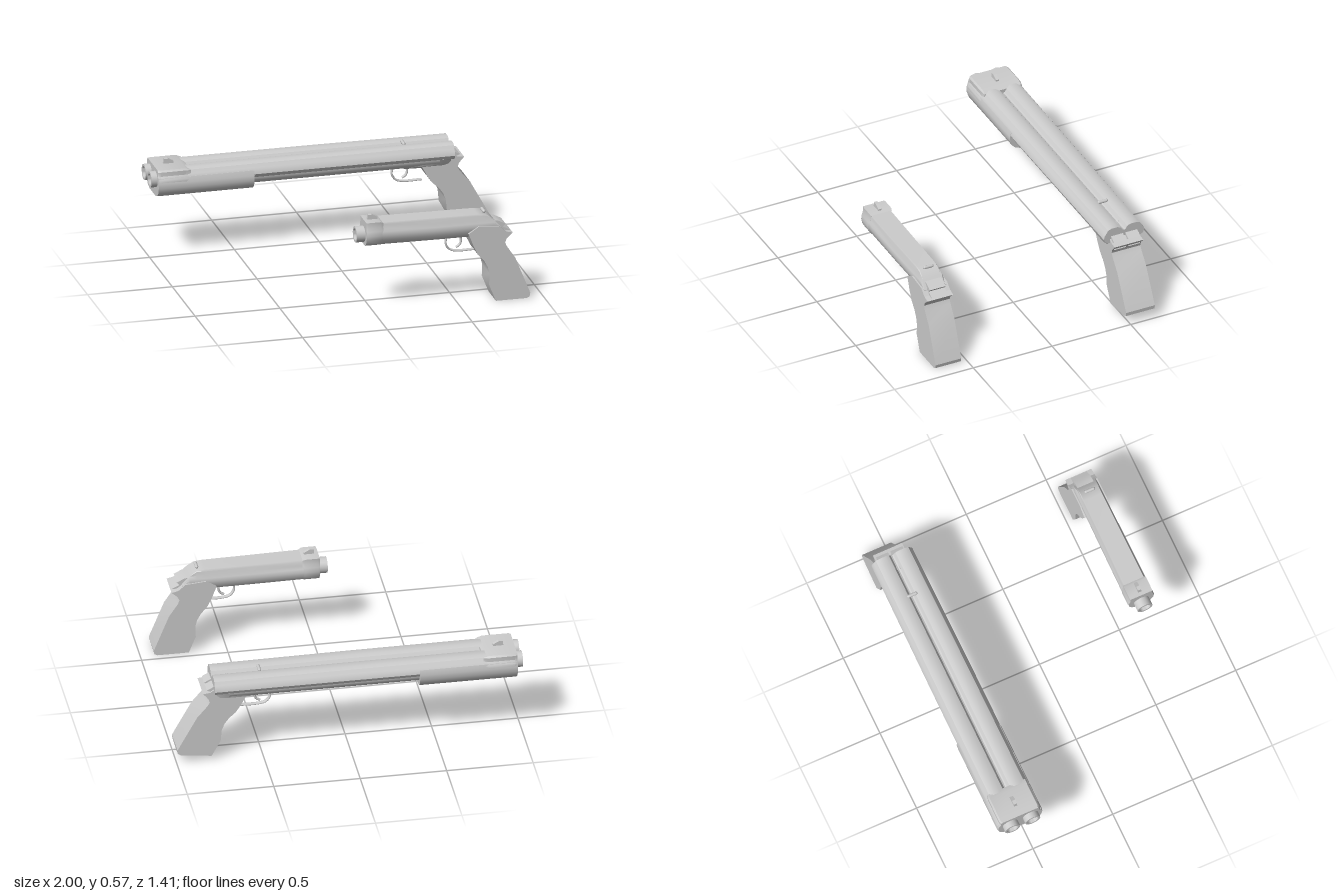
import * as THREE from 'three';
import { toCreasedNormals } from 'three/addons/utils/BufferGeometryUtils.js';

const material = new THREE.MeshStandardMaterial({ color: 0xcccccc });
const openMaterial = new THREE.MeshStandardMaterial({ color: 0xcccccc, side: THREE.DoubleSide });

function add(parent, name, geometry, mat = material) {
  const mesh = new THREE.Mesh(geometry, mat);
  mesh.name = name;
  parent.add(mesh);
  return mesh;
}

// Half outline [z, y] from bottom to top, mirrored into a closed ring
function mirrored(half) {
  const other = half.filter(([z]) => z > 0).map(([z, y]) => [-z, y]).reverse();
  return [...half, ...other];
}

// Loft a ring along x; stations are [x, widthScale, topLimit, lift]
function loft(half, stations, crease = 0.6) {
  const ring = mirrored(half);
  const rings = stations.map(([x, w = 1, top = 9, lift = 0]) =>
    ring.map(([z, y]) => [x, Math.min(y + lift, top), z * w]));
  const pos = [];
  const n = ring.length;
  const tri = (...corners) => corners.forEach((p) => pos.push(...p));
  for (let s = 0; s < rings.length - 1; s++) {
    const a = rings[s], b = rings[s + 1];
    for (let i = 0; i < n; i++) {
      const j = (i + 1) % n;
      tri(a[i], b[i], a[j]);
      tri(a[j], b[i], b[j]);
    }
  }
  const caps = THREE.ShapeUtils.triangulateShape(ring.map(([z, y]) => new THREE.Vector2(z, y)), []);
  const last = rings[rings.length - 1];
  for (const [i, j, k] of caps) {
    tri(rings[0][i], rings[0][j], rings[0][k]);
    tri(last[i], last[k], last[j]);
  }
  const geometry = new THREE.BufferGeometry();
  geometry.setAttribute('position', new THREE.Float32BufferAttribute(pos, 3));
  return toCreasedNormals(geometry, crease);
}

// Side profile in x, y extruded symmetrically across z
function slab(points, width) {
  const shape = new THREE.Shape(points.map(([x, y]) => new THREE.Vector2(x, y)));
  const geometry = new THREE.ExtrudeGeometry(shape, { depth: width, bevelEnabled: false });
  geometry.translate(0, 0, -width / 2);
  return toCreasedNormals(geometry, 0.45);
}

// Hollow muzzle pointing along -x
function muzzle(parent, x, y, z, r) {
  const profile = [[0.74, -0.1], [0.74, 0], [1, 0], [1, -0.14]]
    .map(([k, h]) => new THREE.Vector2(r * k, h));
  const geometry = new THREE.LatheGeometry(profile, 24);
  geometry.rotateZ(Math.PI / 2);
  const mesh = add(parent, 'muzzle', toCreasedNormals(geometry, 0.6), openMaterial);
  mesh.position.set(x, y, z);
  const bore = add(parent, 'boreEnd', new THREE.CircleGeometry(r * 0.76, 24), openMaterial);
  bore.rotation.y = -Math.PI / 2;
  bore.position.set(x + 0.1, y, z);
}

// Bent rod in the x, y plane
function rod(parent, name, points, r, widen) {
  const curve = new THREE.CatmullRomCurve3(points.map(([x, y]) => new THREE.Vector3(x, y, 0)));
  add(parent, name, new THREE.TubeGeometry(curve, 24, r, 8), openMaterial).scale.z = widen;
}

function addHandle(parent, width) {
  const handle = new THREE.Group();
  handle.name = 'handle';
  add(handle, 'grip', slab([
    [0.56, 0.42], [0.59, 0.34], [0.615, 0.29], [0.65, 0.25], [0.672, 0.21], [0.682, 0.17],
    [0.68, 0.1], [0.72, 0], [0.9, 0], [0.918, 0.008], [0.923, 0.03], [0.835, 0.25],
    [0.785, 0.325], [0.774, 0.35], [0.785, 0.375], [0.82, 0.405], [0.78, 0.415],
    [0.74, 0.45], [0.62, 0.46],
  ], width));
  parent.add(handle);
  return handle;
}

function addTrigger(parent) {
  rod(parent, 'triggerGuard', [[0.452, 0.4], [0.445, 0.345], [0.468, 0.31], [0.51, 0.298], [0.62, 0.298]], 0.006, 2.2);
  rod(parent, 'trigger', [[0.52, 0.4], [0.535, 0.365], [0.528, 0.335], [0.505, 0.318]], 0.007, 1.3);
}

function addSights(parent, frontX, rearX, top) {
  add(parent, 'frontSight', slab([
    [frontX, top - 0.02], [frontX + 0.005, top + 0.03], [frontX + 0.03, top + 0.03],
    [frontX + 0.062, top + 0.012], [frontX + 0.062, top - 0.02],
  ], 0.02));
  const rear = add(parent, 'rearSight', new THREE.CapsuleGeometry(0.01, 0.045, 4, 10));
  rear.rotation.x = Math.PI / 2;
  rear.position.set(rearX, top - 0.007, 0);
}

function createPistol() {
  const gun = new THREE.Group();
  gun.name = 'pistol';
  const section = [
    [0.035, 0.392], [0.058, 0.405], [0.073, 0.43], [0.08, 0.458], [0.076, 0.48],
    [0.067, 0.497], [0.065, 0.522], [0.06, 0.531],
  ];
  add(gun, 'slide', loft(section, [
    [0.03], [0.35, 0.97, 9, -0.004], [0.62, 0.93, 9, -0.006], [0.67, 0.92, 0.52, -0.006],
    [0.71, 0.92, 0.49, -0.006], [0.755, 0.92, 0.44, -0.006],
  ]));
  add(gun, 'frontBlock', loft([
    [0.035, 0.39], [0.06, 0.403], [0.076, 0.43], [0.082, 0.458], [0.078, 0.485], [0.07, 0.505], [0.07, 0.538],
  ], [[-0.04, 0.96], [-0.03], [0.045], [0.06, 0.94, 0.53]]));
  muzzle(gun, -0.09, 0.452, 0, 0.047);
  addHandle(gun, 0.163);
  addTrigger(gun);
  addSights(gun, -0.02, 0.665, 0.536);
  add(gun, 'hammer', slab([[0.68, 0.48], [0.74, 0.475], [0.785, 0.452], [0.77, 0.435], [0.815, 0.412], [0.7, 0.4]], 0.1));
  return gun;
}

function createLongGun() {
  const gun = new THREE.Group();
  gun.name = 'doubleBarrelGun';
  // Twin-lobed upper shell with a channel down the middle
  add(gun, 'barrelShell', loft([
    [0, 0.44], [0.1, 0.44], [0.126, 0.452], [0.137, 0.472], [0.132, 0.492], [0.121, 0.507],
    [0.108, 0.527], [0.085, 0.535], [0.045, 0.535], [0.022, 0.527], [0.009, 0.508], [0, 0.505],
  ], [[-0.82], [0, 0.98], [0.74, 0.94, 9, -0.003], [0.785, 0.94, 9, -0.003]]));
  add(gun, 'frontBlock', loft([
    [0, 0.42], [0.12, 0.42], [0.14, 0.46], [0.138, 0.485], [0.124, 0.505], [0.124, 0.53], [0.115, 0.54], [0, 0.54],
  ], [[-0.965, 0.96], [-0.95], [-0.8], [-0.77, 0.96, 0.528]]));
  add(gun, 'forend', loft([
    [0, 0.37], [0.07, 0.371], [0.105, 0.382], [0.128, 0.405], [0.139, 0.435], [0.141, 0.465], [0.132, 0.495], [0, 0.495],
  ], [[-0.965, 0.98], [-0.95], [-0.4, 0.99]]));
  for (const side of [-1, 1]) {
    muzzle(gun, -1, 0.473, side * 0.063, 0.047);
    const barrel = add(gun, 'lowerBarrel', new THREE.CylinderGeometry(0.056, 0.056, 1.12, 24));
    barrel.rotation.z = Math.PI / 2;
    barrel.position.set(0.14, 0.455, side * 0.06);
    // Flared hammer behind each barrel
    const hammer = add(gun, 'hammer', slab([
      [0.69, 0.51], [0.76, 0.495], [0.825, 0.46], [0.8, 0.448], [0.825, 0.41], [0.69, 0.4],
    ], 0.075));
    hammer.position.z = side * 0.045;
  }
  add(gun, 'rearFrame', loft([
    [0, 0.39], [0.07, 0.392], [0.1, 0.41], [0.114, 0.445], [0, 0.455],
  ], [[0.5, 0.9], [0.6], [0.72], [0.77, 0.85]]));
  // Handle swept further back
  const handle = addHandle(gun, 0.182);
  const tilt = 0.122;
  handle.rotation.z = tilt;
  handle.position.set(
    0.628 - 0.6 * Math.cos(tilt) + 0.42 * Math.sin(tilt),
    0.432 - 0.6 * Math.sin(tilt) - 0.42 * Math.cos(tilt), 0);
  addTrigger(gun);
  addSights(gun, -0.905, 0.51, 0.538);
  return gun;
}

export function createModel() {
  const model = new THREE.Group();
  model.name = 'pairOfGuns';
  const pistol = createPistol();
  pistol.position.z = 0.62;
  const longGun = createLongGun();
  longGun.position.z = -0.564;
  model.add(pistol, longGun);
  return model;
}
